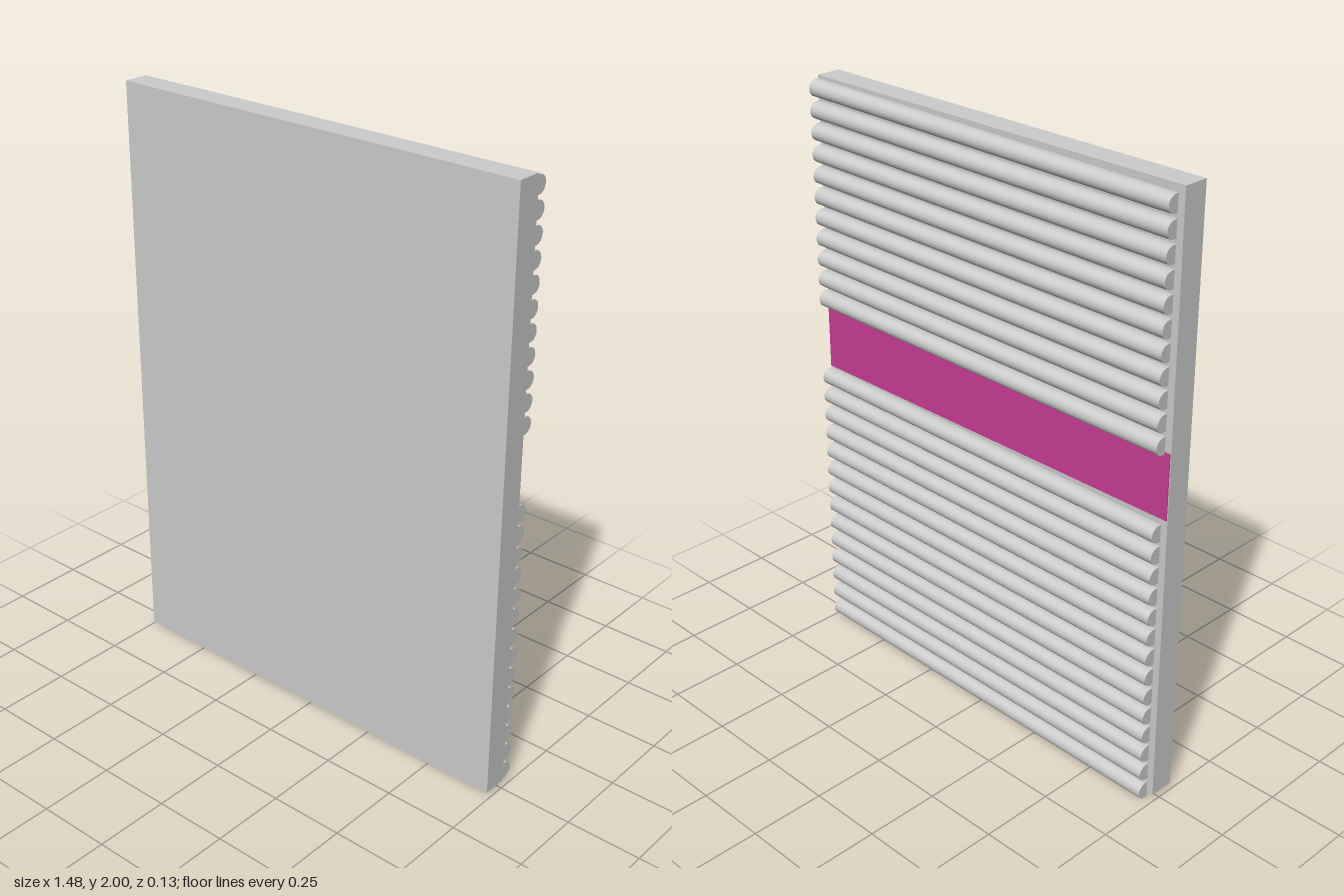
import * as THREE from 'three';

export function createModel() {
  const model = new THREE.Group();
  const grey = new THREE.MeshStandardMaterial({ color: 0xcccccc });
  const purple = new THREE.MeshStandardMaterial({ color: 0xc83c96 });

  const addBox = (name, material, size, position) => {
    const mesh = new THREE.Mesh(new THREE.BoxGeometry(...size), material);
    mesh.name = name;
    mesh.position.set(...position);
    model.add(mesh);
  };

  // Flat board and the coloured band on its back
  addBox('board', grey, [1.48, 1.985, 0.084], [0, 1.0075, 0.021]);
  addBox('band', purple, [1.475, 0.215, 0.006], [0, 1.108, -0.022]);

  // Half-round slat: flat against the board, rounded outwards
  const length = 1.455, radius = 0.028, flat = 0.01;
  const profile = new THREE.Shape();
  profile.moveTo(0, -radius);
  profile.lineTo(flat, -radius);
  profile.absarc(flat, 0, radius, -Math.PI / 2, Math.PI / 2, false);
  profile.lineTo(0, radius);
  profile.closePath();
  const slatGeometry = new THREE.ExtrudeGeometry(profile, { depth: length, bevelEnabled: false, curveSegments: 12 });
  slatGeometry.translate(0, 0, -length / 2);
  slatGeometry.rotateY(Math.PI / 2);

  // Evenly spaced, slightly tilted slats, leaving three slots free for the band
  const slats = new THREE.Group();
  slats.name = 'slats';
  for (let i = 0; i < 28; i++) {
    if (i >= 11 && i <= 13) continue;
    const slat = new THREE.Mesh(slatGeometry, grey);
    slat.name = 'slat';
    slat.position.set(0.0075, 1.956 - i * 0.0711, -0.025);
    slat.rotation.z = 0.0095;
    slats.add(slat);
  }
  model.add(slats);
  return model;
}
